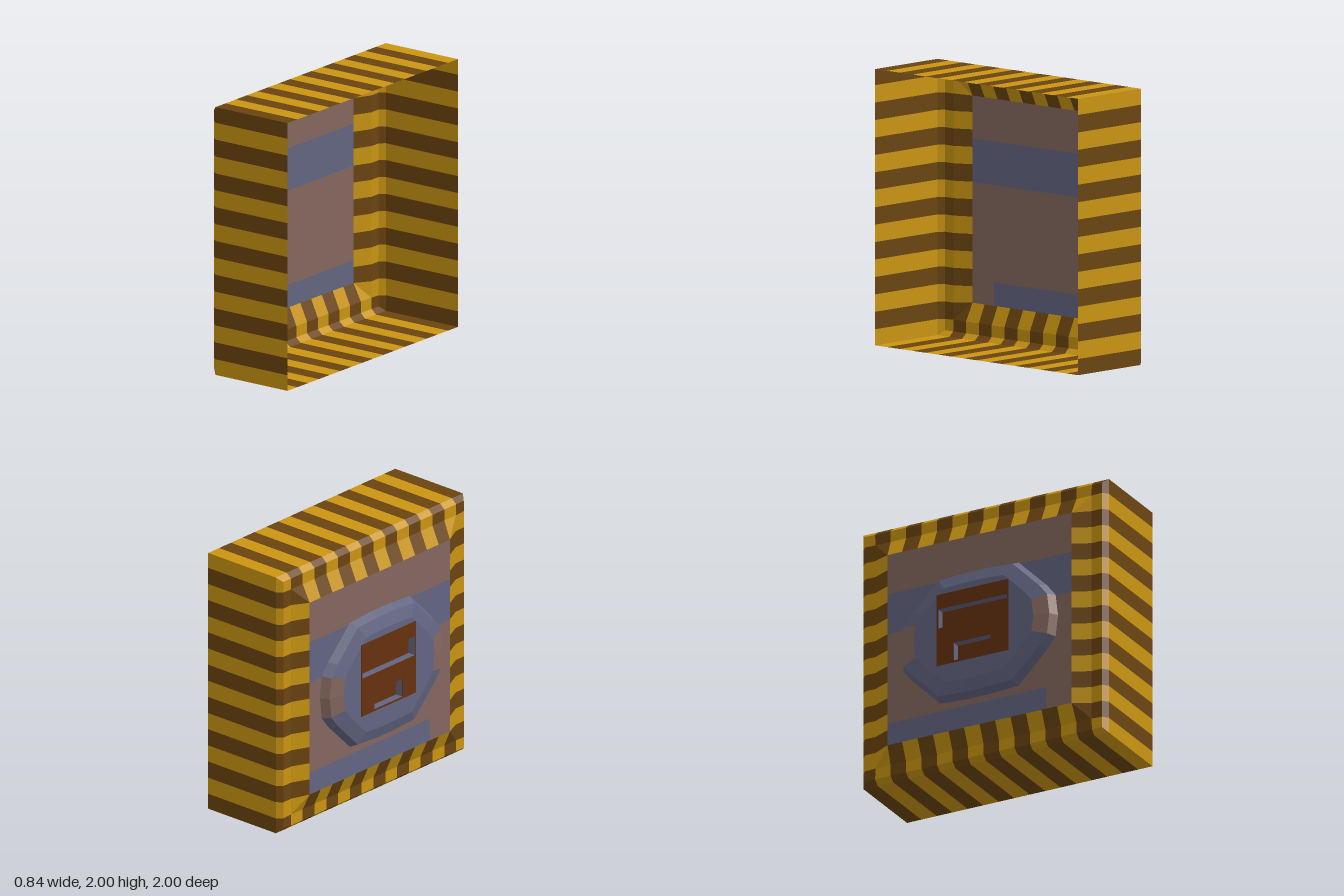
import * as THREE from 'three';

const make = (name, color) => {
  const m = new THREE.MeshStandardMaterial({ color, side: THREE.DoubleSide });
  m.name = name;
  return m;
};

// Collects four-cornered faces into one flat-sided geometry
function quadMesh(name, quads, material) {
  const pos = [];
  for (const [a, b, c, d] of quads) pos.push(...a, ...b, ...c, ...a, ...c, ...d);
  const g = new THREE.BufferGeometry();
  g.setAttribute('position', new THREE.Float32BufferAttribute(pos, 3));
  g.computeVertexNormals();
  const mesh = new THREE.Mesh(g, material);
  mesh.name = name;
  return mesh;
}

const rectPoints = (z0, z1, y0, y1) =>
  [[z0, y0], [z1, y0], [z1, y1], [z0, y1]].map(p => new THREE.Vector2(...p));

export function createModel() {
  const yellow = make('hazard yellow', 0xc99512);
  const brown = make('hazard brown', 0x6a4410);
  const mauve = make('dull mauve', 0x84675f);
  const slate = make('slate blue', 0x626581);
  const rust = make('rust brown', 0x663210);
  const model = new THREE.Group();
  model.name = 'wallButton';

  // Striped open casing: profile as [inset from edge, x]
  const profile = [[0, 0.42], [0, -0.23], [0.035, -0.27], [0.12, -0.27], [0.25, -0.33]];
  const sides = [
    { first: 0, at: (t, d, x) => [x, 1 + t, 1 - d] },
    { first: 1, at: (t, d, x) => [x, 1 + t, d - 1] },
    { first: 0, at: (t, d, x) => [x, 2 - d, t] },
    { first: 1, at: (t, d, x) => [x, d, t] },
  ];
  const stripes = [[], []];
  const edge = (i, d) => THREE.MathUtils.clamp((i - 8) * 0.1262, d - 1, 1 - d);
  for (const { first, at } of sides) {
    for (let i = 0; i < 16; i++) {
      for (let p = 0; p < profile.length - 1; p++) {
        const [d0, x0] = profile[p], [d1, x1] = profile[p + 1];
        const a = edge(i, d0), b = edge(i + 1, d0), c = edge(i + 1, d1), d = edge(i, d1);
        if (b - a < 1e-6 && c - d < 1e-6) continue;
        stripes[(i + first) % 2].push([at(a, d0, x0), at(b, d0, x0), at(c, d1, x1), at(d, d1, x1)]);
      }
    }
  }
  model.add(quadMesh('casingYellowStripes', stripes[0], yellow));
  model.add(quadMesh('casingBrownStripes', stripes[1], brown));

  // Square panel in bands
  const band = (z0, z1, y0, y1) =>
    [[-0.33, y0, z0], [-0.33, y0, z1], [-0.33, y1, z1], [-0.33, y1, z0]];
  model.add(quadMesh('panelMauveBands', [
    band(-0.75, 0.75, 1.44, 1.75), band(-0.75, 0.75, 0.42, 1.125), band(0.54, 0.75, 0.25, 0.42),
  ], mauve));
  model.add(quadMesh('panelSlateBands', [
    band(-0.75, 0.75, 1.125, 1.44), band(-0.75, 0.54, 0.25, 0.42),
  ], slate));

  // Bevelled button: quarter outline [z, y] mirrored around its centre
  const cy = 0.967;
  const quarter = [[0.64, 0], [0.62, 0.165], [0.55, 0.255], [0.32, 0.485], [0.1, 0.498]];
  const half = [...quarter, ...quarter.slice(1).reverse().map(([z, y]) => [-z, y])];
  const outline = [...half, ...half.map(([z, y]) => [-z, -y])];
  const levels = [[-0.33, 1], [-0.39, 0.94], [-0.42, 0.76]];
  const rim = [], rimSides = [];
  outline.forEach((p, i) => {
    const q = outline[(i + 1) % outline.length];
    const target = Math.abs(p[0]) > 0.6 && Math.abs(q[0]) > 0.6 ? rimSides : rim;
    for (let l = 0; l < 2; l++) {
      const at = ([z, y], [x, s]) => [x, cy + y * s, z * s];
      target.push([at(p, levels[l]), at(q, levels[l]), at(q, levels[l + 1]), at(p, levels[l + 1])]);
    }
  });
  model.add(quadMesh('buttonRim', rim, slate));
  model.add(quadMesh('buttonRimSides', rimSides, mauve));

  // Button face and inlay, both pierced by two recesses
  const recesses = [[-0.285, 0.275, 1.03, 1.18], [-0.16, 0.14, 0.75, 0.89]];
  const pierced = points => {
    const s = new THREE.Shape(points);
    s.holes = recesses.map(r => new THREE.Path(rectPoints(...r).reverse()));
    return s;
  };
  const addFacing = (name, geometry, x, material) => {
    geometry.rotateY(-Math.PI / 2);
    const mesh = new THREE.Mesh(geometry, material);
    mesh.position.x = x;
    mesh.name = name;
    model.add(mesh);
  };
  const extrude = (shape, depth) => new THREE.ExtrudeGeometry(shape, { depth, bevelEnabled: false });
  const face = outline.map(([z, y]) => new THREE.Vector2(z * 0.76, cy + y * 0.76));
  addFacing('buttonFace', extrude(pierced(face), 0.06), -0.36, slate);
  addFacing('inlayPlate', extrude(pierced(rectPoints(-0.3, 0.285, 0.735, 1.295)), 0.002), -0.42, rust);

  // Recess floors
  for (const r of recesses) {
    addFacing('recessFloor', new THREE.ShapeGeometry(new THREE.Shape(rectPoints(...r))), -0.361, rust);
  }
  return model;
}
